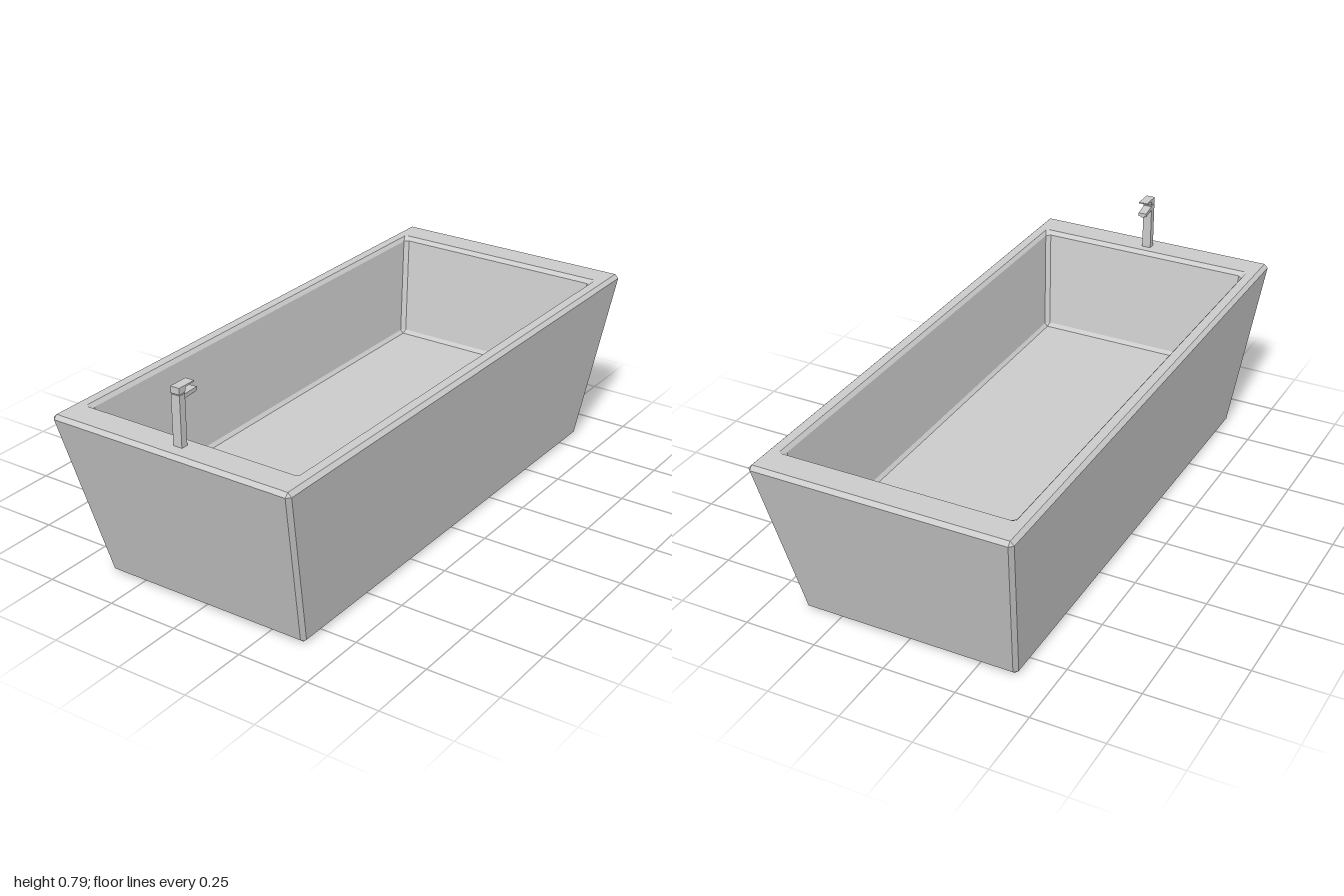
import * as THREE from 'three';

const material = new THREE.MeshStandardMaterial({ color: 0xcccccc, flatShading: true });

// Rectangle with cut corners, at height y with half sizes x and z
function ring([x, y, z, c]) {
  return [
    [-x + c, y, z], [x - c, y, z], [x, y, z - c], [x, y, -z + c],
    [x - c, y, -z], [-x + c, y, -z], [-x, y, -z + c], [-x, y, z - c],
  ];
}

// Skin joining consecutive rings, leaving out collapsed triangles
function loft(sections) {
  const rings = sections.map(ring);
  const positions = [];
  const same = (p, q) => p.every((v, k) => Math.abs(v - q[k]) < 1e-6);
  const tri = (a, b, c) => {
    if (!same(a, b) && !same(b, c) && !same(a, c)) positions.push(...a, ...b, ...c);
  };
  for (let r = 0; r < rings.length - 1; r++) {
    const a = rings[r], b = rings[r + 1];
    for (let i = 0; i < 8; i++) {
      const j = (i + 1) % 8;
      tri(a[i], a[j], b[j]);
      tri(a[i], b[j], b[i]);
    }
  }
  const geometry = new THREE.BufferGeometry();
  geometry.setAttribute('position', new THREE.Float32BufferAttribute(positions, 3));
  geometry.computeVertexNormals();
  return geometry;
}

// Side profile given as (z, y) points, extruded across x and centred on x = 0
function profile(points, width) {
  const shape = new THREE.Shape(points.map(([z, y]) => new THREE.Vector2(-z, y)));
  const geometry = new THREE.ExtrudeGeometry(shape, { depth: width, bevelEnabled: false });
  return geometry.translate(0, 0, -width / 2).rotateY(Math.PI / 2);
}

function add(parent, name, geometry, x = 0, y = 0, z = 0) {
  const mesh = new THREE.Mesh(geometry, material);
  mesh.name = name;
  mesh.position.set(x, y, z);
  parent.add(mesh);
  return mesh;
}

export function createModel() {
  const model = new THREE.Group();
  model.name = 'bathtub';

  // Tub: underside, sloping outer walls, rim, inner walls, basin floor
  add(model, 'tub', loft([
    [0, 0, 0, 0],
    [0.367, 0, 0.835, 0],
    [0.38, 0.012, 0.85, 0.013],
    [0.447, 0.585, 1.0, 0.013],
    [0.434, 0.598, 0.987, 0],
    [0.402, 0.598, 0.894, 0.008],
    [0.392, 0.585, 0.879, 0.014],
    [0.366, 0.247, 0.823, 0.014],
    [0.356, 0.235, 0.811, 0],
    [0, 0.235, 0, 0],
  ]));

  // Tap standing on the front rim
  const tap = new THREE.Group();
  tap.name = 'tap';
  tap.position.x = 0.006;
  model.add(tap);
  add(tap, 'tapColumn', new THREE.BoxGeometry(0.032, 0.17, 0.025), 0, 0.681, 0.935);

  // Lever: a block on the column carrying a thin plate
  add(tap, 'tapLever', profile([
    [0.948, 0.769], [0.948, 0.791], [0.88, 0.791], [0.88, 0.787], [0.917, 0.785], [0.922, 0.769],
  ], 0.032));

  // Spout, turned slightly to one side
  const spout = new THREE.Group();
  spout.name = 'spout';
  spout.position.set(0, 0, 0.93);
  spout.rotation.y = 0.11;
  tap.add(spout);
  add(spout, 'spoutArm', profile([
    [0, 0.763], [-0.072, 0.76], [-0.072, 0.748], [0, 0.748],
  ], 0.029));
  add(spout, 'spoutOutlet', new THREE.CylinderGeometry(0.009, 0.009, 0.006, 16), 0, 0.746, -0.06);

  return model;
}
